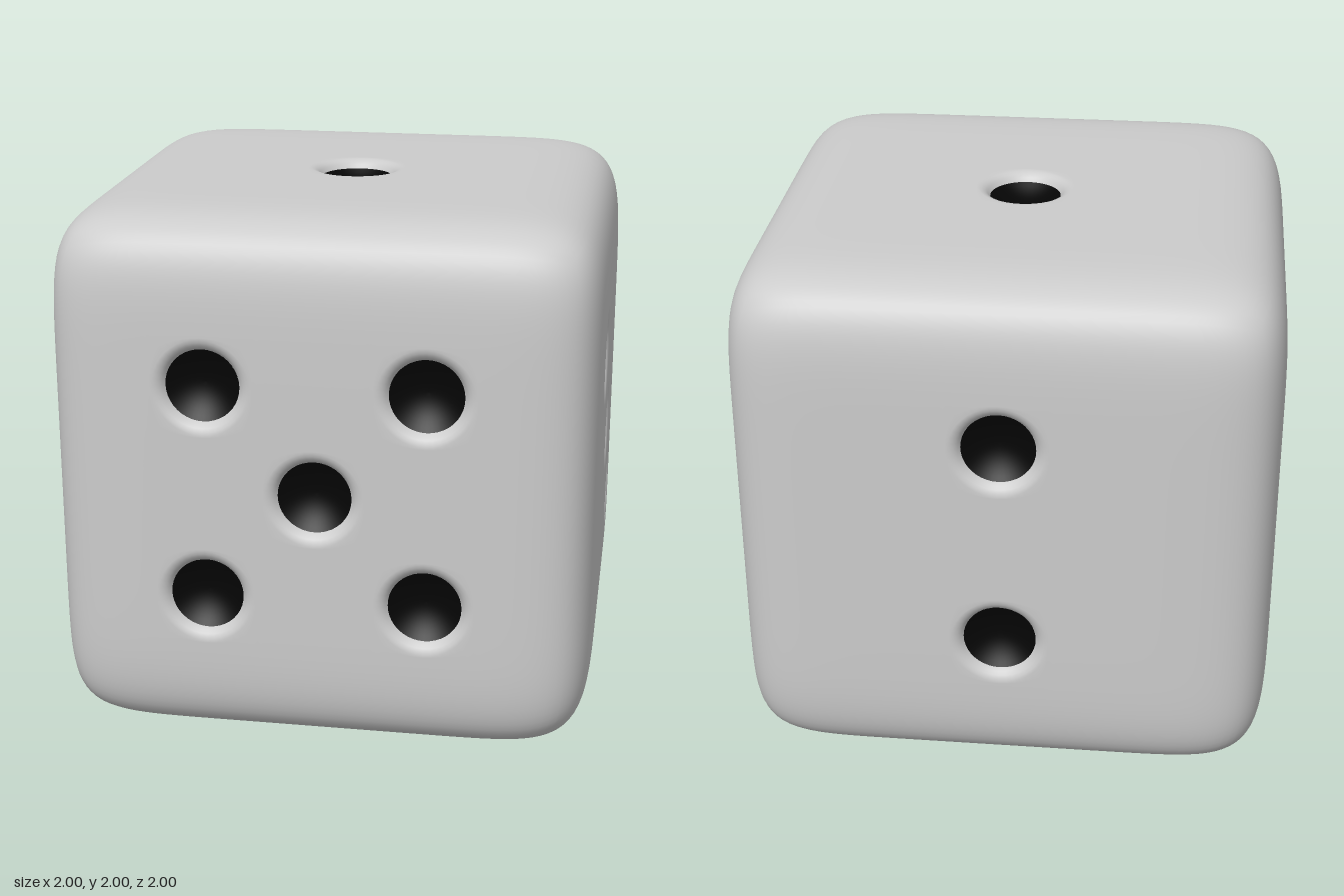
import * as THREE from 'three';
import { mergeVertices } from 'three/addons/utils/BufferGeometryUtils.js';

const POWER = 9;     // squareness of the rounded cube
const CELL = 0.4;    // pip spacing; every face is 5 x 5 cells
const STEPS = 10;    // subdivisions along a cell side
const PIP_R = 0.134;
const LIP_DEPTH = 0.034;
// soft rolled rim around a pip: radius, depth
const LIP = [[0.178, 0], [0.166, 0.003], [0.154, 0.009], [0.143, 0.019], [PIP_R, LIP_DEPTH]];

// each face: rotation from the front, and its pips (right, up) in cells
const FACES = [
  { name: 'front', rot: [0, 0, 0], pips: [[-1, 1], [1, 1], [0, 0], [-1, -1], [1, -1]] },
  { name: 'left', rot: [0, Math.PI / 2, 0], pips: [[-1, 1], [0, 0], [1, -1]] },
  { name: 'back', rot: [0, Math.PI, 0], pips: [[0, 1], [0, -1]] },
  { name: 'right', rot: [0, -Math.PI / 2, 0], pips: [[-1, 1], [1, 1], [-1, -1], [1, -1]] },
  { name: 'top', rot: [-Math.PI / 2, 0, 0], pips: [[0, 0]] },
  { name: 'bottom', rot: [Math.PI / 2, 0, 0], pips: [[-1, -1], [-1, 0], [-1, 1], [1, -1], [1, 0], [1, 1]] },
];

// point on the front of the rounded cube, sunk by depth
function facePoint(u, v, depth = 0) {
  const s = Math.pow(Math.abs(u) ** POWER + Math.abs(v) ** POWER + 1, -1 / POWER);
  return new THREE.Vector3(u * s, v * s, s - depth);
}

// adds a grid of quads; fn(i, j) runs right by i and up by j
function addGrid(out, ni, nj, fn) {
  for (let i = 0; i < ni; i++) {
    for (let j = 0; j < nj; j++) {
      const a = fn(i, j), b = fn(i + 1, j), c = fn(i + 1, j + 1), d = fn(i, j + 1);
      out.push(a, b, c, a, c, d);
    }
  }
}

// counter-clockwise walk round a cell's square border, from its lower left corner
function squarePoint(i) {
  const side = Math.floor(i / STEPS) % 4;
  const t = ((i % STEPS) / STEPS - 0.5) * CELL, h = CELL / 2;
  return [[t, -h], [h, t], [-t, h], [-h, -t]][side];
}

// cell with a round hole and rolled rim
function addPipCell(out, cu, cv) {
  const blend = 3;
  addGrid(out, 4 * STEPS, blend + LIP.length - 1, (i, j) => {
    const ang = -0.75 * Math.PI + (i / (4 * STEPS)) * 2 * Math.PI;
    const [r, depth] = LIP[Math.max(0, j - blend)];
    const [su, sv] = squarePoint(i);
    const t = Math.min(1, j / blend);
    const u = THREE.MathUtils.lerp(su, r * Math.cos(ang), t);
    const v = THREE.MathUtils.lerp(sv, r * Math.sin(ang), t);
    return facePoint(cu + u, cv + v, depth);
  });
}

function bodyGeometry() {
  const all = [];
  for (const { rot, pips } of FACES) {
    const pts = [];
    for (let cx = -2; cx <= 2; cx++) {
      for (let cy = -2; cy <= 2; cy++) {
        if (pips.some(([px, py]) => px === cx && py === cy)) {
          addPipCell(pts, cx * CELL, cy * CELL);
        } else {
          addGrid(pts, STEPS, STEPS, (i, j) =>
            facePoint((cx - 0.5 + i / STEPS) * CELL, (cy - 0.5 + j / STEPS) * CELL));
        }
      }
    }
    const turn = new THREE.Euler(...rot);
    for (const p of pts) all.push(p.clone().applyEuler(turn));
  }
  const geo = mergeVertices(new THREE.BufferGeometry().setFromPoints(all), 1e-4);
  geo.computeVertexNormals();
  return geo;
}

// shallow bowl that opens towards +z
function pipGeometry() {
  const profile = [];
  for (let k = 0; k <= 8; k++) {
    const r = PIP_R * (1 - k / 8);
    profile.push(new THREE.Vector2(r, -LIP_DEPTH - 0.05 * (1 - (r / PIP_R) ** 2)));
  }
  return new THREE.LatheGeometry(profile, 4 * STEPS).rotateX(Math.PI / 2);
}

export function createModel() {
  const model = new THREE.Group();
  model.name = 'die';

  const body = new THREE.Mesh(bodyGeometry(), new THREE.MeshStandardMaterial({ color: 0xcccccc }));
  body.name = 'body';
  body.position.y = 1;
  model.add(body);

  // dark pips, grouped by face
  const bowl = pipGeometry();
  const dark = new THREE.MeshStandardMaterial({ color: 0x050505 });
  for (const { name, rot, pips } of FACES) {
    const group = new THREE.Group();
    group.name = name + 'Pips';
    group.rotation.set(...rot);
    group.position.y = 1;
    for (const [px, py] of pips) {
      const pip = new THREE.Mesh(bowl, dark);
      pip.name = 'pip';
      pip.position.set(px * CELL, py * CELL, 1);
      group.add(pip);
    }
    model.add(group);
  }
  return model;
}
